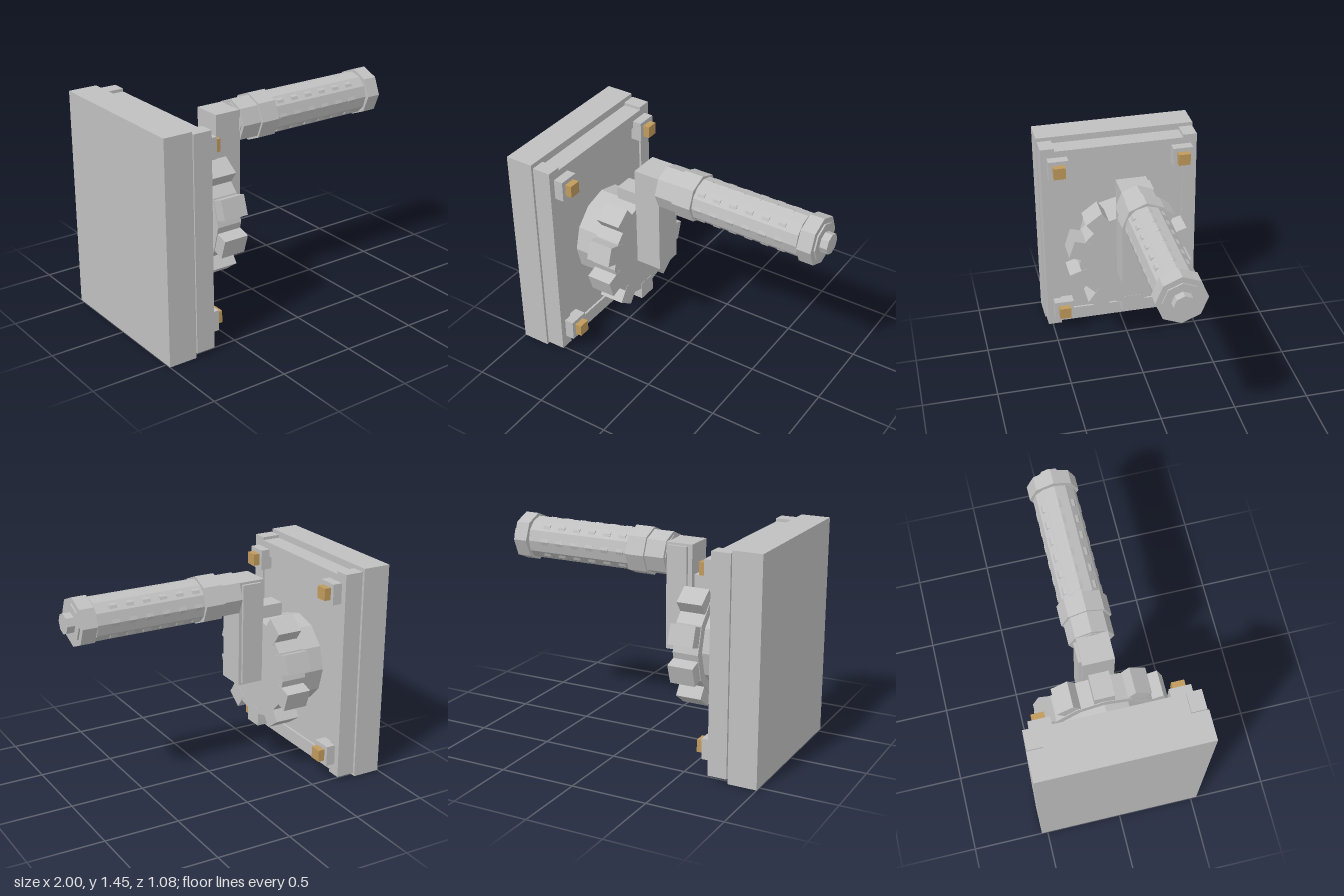
import * as THREE from 'three';

export function createModel() {
  const root = new THREE.Group();
  const steel = new THREE.MeshStandardMaterial({ color: 0xc0c0c0 });
  steel.name = 'grey steel';
  const brass = new THREE.MeshStandardMaterial({ color: 0xc09a5c });
  brass.name = 'brass';

  const add = (name, geometry, material = steel, parent = root) => {
    const mesh = new THREE.Mesh(geometry, material);
    mesh.name = name;
    parent.add(mesh);
    return mesh;
  };

  // box given by its extents along x, y and z
  const box = (name, x0, x1, y0, y1, z0, z1, material, parent) => {
    const g = new THREE.BoxGeometry(x1 - x0, y1 - y0, z1 - z0);
    g.translate((x0 + x1) / 2, (y0 + y1) / 2, (z0 + z1) / 2);
    return add(name, g, material, parent);
  };

  // faceted cylinder lying along x
  const rod = (name, x0, x1, y, radius, sides, parent) => {
    const g = new THREE.CylinderGeometry(radius, radius, x1 - x0, sides).toNonIndexed();
    g.computeVertexNormals();
    g.rotateZ(-Math.PI / 2);
    g.translate((x0 + x1) / 2, y, 0);
    return add(name, g, steel, parent);
  };

  // wall plate and the spacer that leaves a groove behind the frame
  box('backPlate', -1, -0.81, 0, 1.445, -0.54, 0.54);
  box('grooveCore', -0.82, -0.79, 0.05, 1.395, -0.51, 0.51);

  // raised frame around a shallow recessed panel
  box('recessedPanel', -0.8, -0.69, 0.12, 1.33, -0.45, 0.45);
  for (const s of [-1, 1]) {
    const z = s * 0.4875;
    box('sideRail', -0.8, -0.675, 0.025, 1.425, z - 0.0475, z + 0.0475);
  }
  box('topRail', -0.8, -0.675, 1.31, 1.405, -0.44, 0.44);
  box('bottomRail', -0.8, -0.675, 0.045, 0.14, -0.44, 0.44);

  // corner bolts on square washers
  for (const y of [0.173, 1.292]) {
    for (const z of [-0.425, 0.425]) {
      const bolt = new THREE.Group();
      bolt.name = 'cornerBolt';
      root.add(bolt);
      box('washer', -0.69, -0.612, y - 0.068, y + 0.068, z - 0.068, z + 0.068, steel, bolt);
      box('boltHead', -0.62, -0.567, y - 0.04, y + 0.04, z - 0.04, z + 0.04, brass, bolt);
    }
  }

  // hub and ten-toothed gear
  const gearY = 0.71;
  rod('hub', -0.69, -0.51, gearY, 0.3, 12);
  const gear = new THREE.Group();
  gear.name = 'gear';
  root.add(gear);
  rod('gearDisc', -0.515, -0.342, gearY, 0.355, 12, gear);
  for (let i = 0; i < 10; i++) {
    const g = new THREE.BoxGeometry(0.17, 0.125, 0.13);
    g.translate(-0.425, 0.3605, 0);
    g.rotateX((i * Math.PI) / 5);
    g.translate(0, gearY, 0);
    add('gearTooth', g, steel, gear);
  }

  // crank arm with a raised panel on its rear face
  box('crankArm', -0.345, -0.165, 0.63, 1.33, -0.1, 0.1);
  box('armPanel', -0.315, -0.185, 0.645, 1.315, -0.118, -0.09);

  // handle
  const handle = new THREE.Group();
  handle.name = 'handle';
  root.add(handle);
  const sections = [
    ['handleCore', -0.17, 0.95, 0.12, 8],
    ['handleNeck', -0.165, -0.03, 0.143, 8],
    ['collar', -0.03, 0.1, 0.158, 8],
    ['grip', 0.105, 0.835, 0.14, 12],
    ['endCap', 0.845, 0.94, 0.158, 8],
    ['endPin', 0.93, 1, 0.067, 8],
  ];
  for (const [name, x0, x1, r, sides] of sections) rod(name, x0, x1, 1.232, r, sides, handle);
  for (let i = 0; i < 6; i++) {
    const x = 0.15 + i * 0.113;
    rod('gripRib', x - 0.025, x + 0.025, 1.232, 0.143, 8, handle);
  }

  return root;
}
